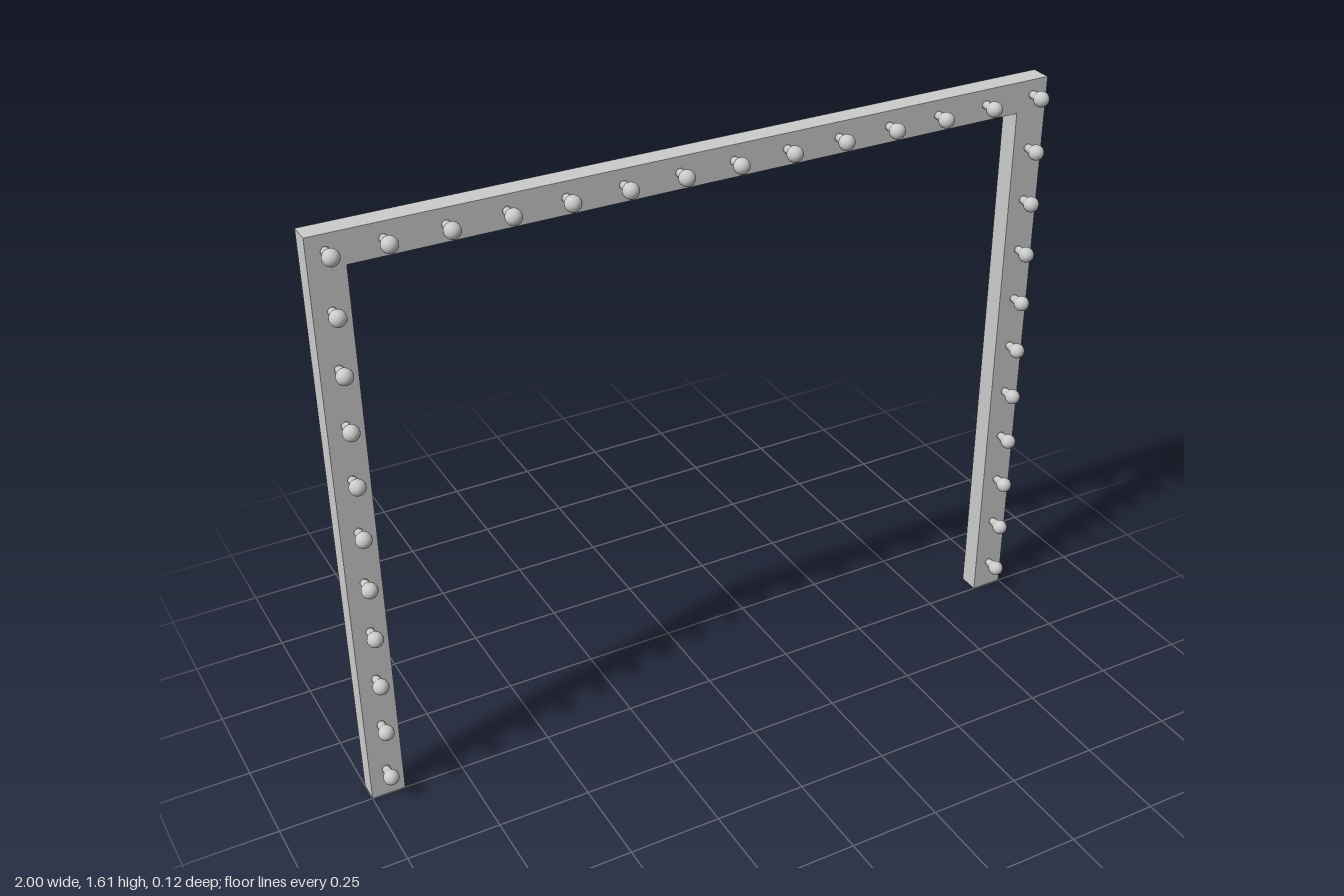
import * as THREE from 'three';

const HALF = 1, INNER = 0.91, TOP = 1.605, UNDER = 1.52, DEPTH = 0.057;

export function createModel() {
  const model = new THREE.Group();
  model.name = 'bulbArch';
  const grey = new THREE.MeshStandardMaterial({ color: 0xcccccc, side: THREE.DoubleSide });
  grey.name = 'light grey';

  // Arch outline, counter-clockwise from the front
  const outline = [
    [-HALF, 0], [-INNER, 0], [-INNER, UNDER], [INNER, UNDER],
    [INNER, 0], [HALF, 0], [HALF, TOP], [-HALF, TOP],
  ].map(([x, y]) => new THREE.Vector2(x, y));

  // Front plate; the channel is open at the back
  const frame = new THREE.Group();
  frame.name = 'channelFrame';
  const plate = new THREE.Mesh(new THREE.ShapeGeometry(new THREE.Shape(outline)), grey);
  plate.name = 'frontPlate';
  frame.add(plate);

  // Thin walls running back from every edge of the plate
  outline.forEach((a, i) => {
    const b = outline[(i + 1) % outline.length];
    const wall = new THREE.Mesh(
      new THREE.PlaneGeometry(a.distanceTo(b), DEPTH).rotateX(-Math.PI / 2), grey);
    wall.rotation.z = Math.atan2(a.y - b.y, a.x - b.x);
    wall.position.set((a.x + b.x) / 2, (a.y + b.y) / 2, -DEPTH / 2);
    wall.name = 'sideWall';
    frame.add(wall);
  });
  model.add(frame);

  // Light bulb: narrow neck flaring into a round globe
  const profile = [[0, -0.001], [0.011, -0.001], [0.011, 0.008], [0.013, 0.018]];
  const R = 0.021, CENTRE = 0.038;
  for (let i = 0; i <= 10; i++) {
    const t = -0.75 + (i / 10) * (Math.PI / 2 + 0.75);
    profile.push([Math.max(0, R * Math.cos(t)), CENTRE + R * Math.sin(t)]);
  }
  const bulbGeometry = new THREE.LatheGeometry(
    profile.map(([r, y]) => new THREE.Vector2(r, y)), 20).rotateX(Math.PI / 2);

  const bulbs = new THREE.Group();
  bulbs.name = 'bulbs';
  const addBulb = (x, y) => {
    const bulb = new THREE.Mesh(bulbGeometry, grey);
    bulb.name = 'bulb';
    bulb.position.set(x, y, 0);
    bulbs.add(bulb);
  };
  const STEP = 0.148, EDGE = 0.955, ROW = 1.564;
  for (let i = 0; i < 13; i++) addBulb(EDGE - i * STEP, ROW); // top row
  addBulb(-EDGE, ROW);
  for (let i = 1; i <= 10; i++) { // both legs
    for (const side of [-1, 1]) addBulb(side * EDGE, ROW - i * STEP);
  }
  model.add(bulbs);
  return model;
}
